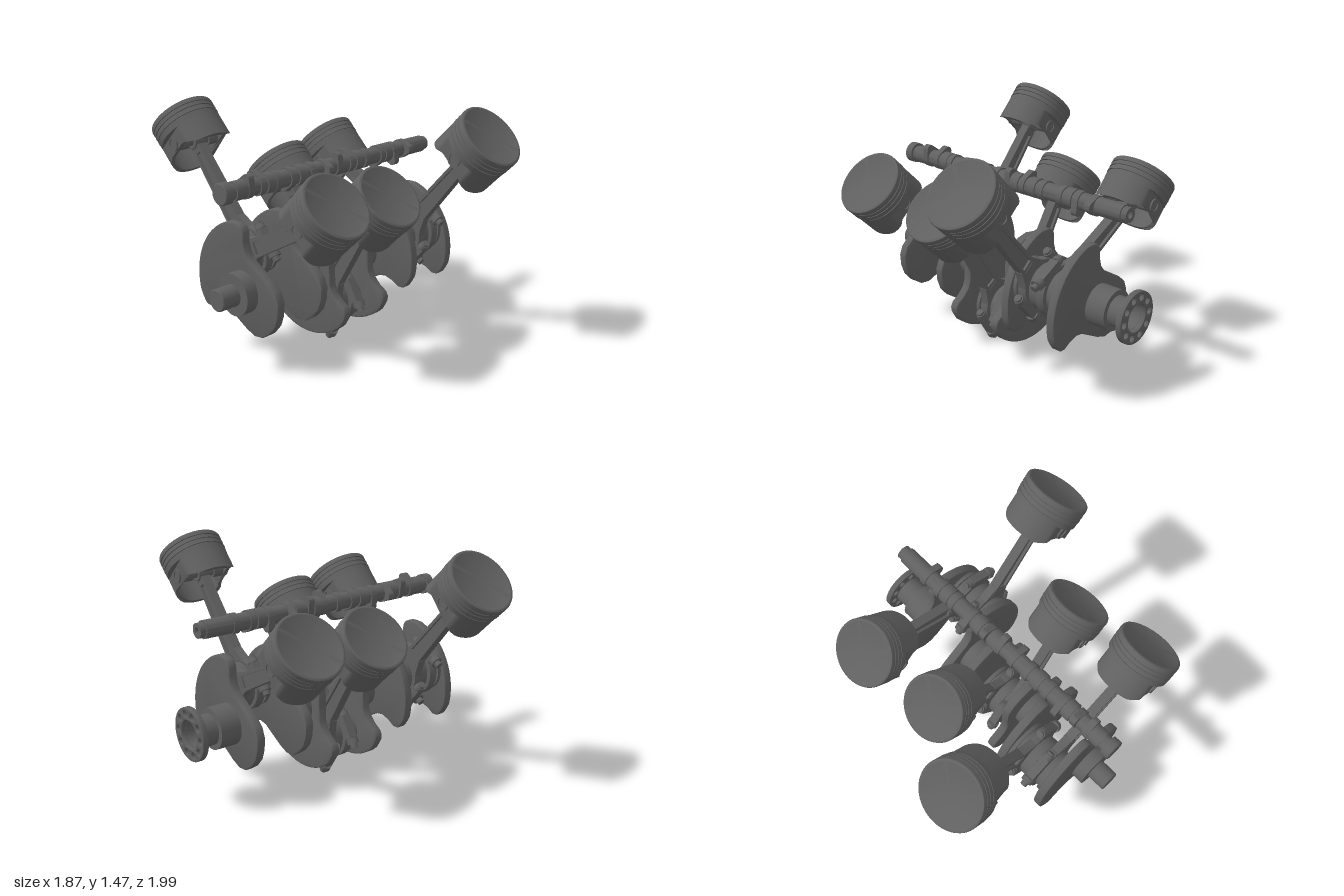
import * as THREE from 'three';
import { toCreasedNormals } from 'three/addons/utils/BufferGeometryUtils.js';

const material = new THREE.MeshStandardMaterial({ color: 0x606060 });
const AXIS_Y = 0.485, CRANK = 0.25, ROD = 0.78, PIN_DROP = 0.185;
const V = (x, y) => new THREE.Vector2(x, y);

function add(parent, name, geometry, x = 0, y = 0, z = 0) {
  const mesh = new THREE.Mesh(toCreasedNormals(geometry, 0.6), material);
  mesh.name = name;
  mesh.position.set(x, y, z);
  parent.add(mesh);
  return mesh;
}

function group(parent, name, x = 0, y = 0, z = 0, rotX = 0) {
  const g = new THREE.Group();
  g.name = name;
  g.position.set(x, y, z);
  g.rotation.x = rotX;
  parent.add(g);
  return g;
}

// turned part along x; steps are [x, radius]
const turned = (steps, sides = 40) =>
  new THREE.LatheGeometry(steps.map(([x, r]) => V(r, x)), sides).rotateZ(-Math.PI / 2);

const rod = (r, length, sides = 32) =>
  new THREE.CylinderGeometry(r, r, length, sides).rotateZ(Math.PI / 2);

// flat part in the y-z plane, thickness centred on x
function plate(shape, thickness, bevel = 0) {
  const depth = thickness - 2 * bevel;
  return new THREE.ExtrudeGeometry(shape, {
    depth, curveSegments: 24, bevelEnabled: bevel > 0, bevelSize: bevel,
    bevelThickness: bevel, bevelOffset: -bevel, bevelSegments: 2,
  }).translate(0, 0, -depth / 2).rotateY(Math.PI / 2);
}

function disc(r, holes = []) {
  const shape = new THREE.Shape().absarc(0, 0, r, 0, Math.PI * 2);
  for (const [x, y, hr] of holes) shape.holes.push(new THREE.Path().absarc(x, y, hr, 0, Math.PI * 2, true));
  return shape;
}

// crank web: broad lobe around the pin, narrow tail behind the shaft
function webShape() {
  const half = [];
  for (let i = 0; i <= 12; i++) {
    const a = i / 12 * 0.76;
    half.push(V(0.408 * Math.sin(a), 0.408 * Math.cos(a)));
  }
  half.push(V(0.302, 0.262), V(0.318, 0.23), V(0.321, 0.2), V(0.305, 0.17), V(0.255, 0.14), V(0.215, 0.1),
    V(0.195, 0.05), V(0.193, -0.05), V(0.191, -0.13), V(0.178, -0.2), V(0.14, -0.25), V(0.07, -0.284), V(0, -0.297));
  const mirrored = half.slice(1, -1).reverse().map((p) => V(-p.x, p.y));
  return new THREE.Shape([...half, ...mirrored]);
}

// circle with flats cut across x, for the piston skirt
function flattened(r, flat) {
  const pts = [];
  for (let i = 0; i < 72; i++) {
    const a = i / 72 * Math.PI * 2;
    pts.push(V(THREE.MathUtils.clamp(r * Math.cos(a), -flat, flat), r * Math.sin(a)));
  }
  return pts;
}

function buildPiston(parent, y) {
  const piston = group(parent, 'piston', 0, y);
  // crown with three fine ring grooves
  const profile = [V(0, -0.06), V(0.165, -0.06), V(0.165, -0.135), V(0.203, -0.135)];
  for (const g of [-0.1, -0.068, -0.04]) {
    profile.push(V(0.205, g), V(0.199, g), V(0.199, g + 0.007), V(0.207, g + 0.007));
  }
  profile.push(V(0.207, -0.012), V(0.204, -0.004), V(0.196, 0), V(0.188, 0), V(0.185, -0.002), V(0, -0.002));
  add(piston, 'pistonCrown', new THREE.LatheGeometry(profile, 56));
  // skirt, arched upward under the wrist pin
  const shape = new THREE.Shape(flattened(0.203, 0.165));
  shape.holes.push(new THREE.Path(flattened(0.178, 0.14).reverse()));
  const skirt = new THREE.ExtrudeGeometry(shape, { depth: 0.155, bevelEnabled: false })
    .rotateX(-Math.PI / 2).translate(0, -0.28, 0);
  const pos = skirt.attributes.position;
  for (let i = 0; i < pos.count; i++) {
    if (pos.getY(i) > -0.27) continue;
    const t = THREE.MathUtils.clamp((0.17 - Math.abs(pos.getZ(i))) / 0.09, 0, 1);
    pos.setY(i, -0.28 + 0.05 * t);
  }
  add(piston, 'pistonSkirt', skirt);
  // wrist pin and its bosses
  add(piston, 'wristPin', rod(0.03, 0.335), 0, -PIN_DROP);
  for (const s of [-1, 1]) {
    add(piston, 'pinBoss', plate(disc(0.043, [[0, 0, 0.03]]), 0.1), s * 0.125, -PIN_DROP);
  }
}

function buildRod(parent, x, pin, rotX) {
  const g = group(parent, 'connectingRod', x, pin.y, pin.x, rotX);
  // I-section beam
  const taper = (wLow, wHigh, low, high) => [V(-wLow, low), V(wLow, low), V(wHigh, high), V(-wHigh, high)];
  const frame = new THREE.Shape(taper(0.058, 0.04, 0.135, 0.735));
  frame.holes.push(new THREE.Path(taper(0.036, 0.022, 0.2, 0.69).reverse()));
  add(g, 'beamFlanges', plate(frame, 0.06));
  add(g, 'beamWeb', plate(new THREE.Shape(taper(0.04, 0.026, 0.19, 0.7)), 0.024));
  add(g, 'smallEnd', plate(disc(0.055, [[0, 0, 0.029]]), 0.08, 0.005), 0, ROD);
  // shoulder blending the beam into the big end
  const neck = new THREE.Shape([V(-0.14, 0.06), V(0.14, 0.06), V(0.085, 0.15), V(0.058, 0.22), V(-0.058, 0.22), V(-0.085, 0.15)]);
  neck.holes.push(new THREE.Path().absarc(0, 0, 0.12, 0.6, Math.PI - 0.6));
  add(g, 'bigEndNeck', plate(neck, 0.055));
  add(g, 'bigEnd', plate(disc(0.158, [[0, 0, 0.128]]), 0.056, 0.005));
  // cap bolts on both sides
  for (const s of [-1, 1]) {
    add(g, 'boltLug', new THREE.BoxGeometry(0.056, 0.15, 0.065), 0, -0.01, s * 0.155);
    add(g, 'capBolt', new THREE.CylinderGeometry(0.022, 0.022, 0.26, 16), 0, -0.02, s * 0.163);
    add(g, 'boltNut', new THREE.CylinderGeometry(0.037, 0.037, 0.035, 16), 0, -0.105, s * 0.163);
    add(g, 'boltHead', new THREE.CylinderGeometry(0.028, 0.034, 0.03, 16), 0, 0.08, s * 0.163);
  }
}

function buildCrankshaft(parent) {
  const crank = group(parent, 'crankshaft', 0, AXIS_Y);
  add(crank, 'shaftNose', turned([[-0.935, 0], [-0.935, 0.06], [-0.93, 0.065], [-0.815, 0.065],
    [-0.815, 0.125], [-0.7, 0.125], [-0.7, 0]]));
  add(crank, 'shaftTail', turned([[0.62, 0], [0.62, 0.125], [0.79, 0.125], [0.79, 0.093],
    [0.9, 0.093], [0.9, 0.084], [0.8, 0.084], [0.8, 0]]));
  for (const x of [-0.295, 0.207]) add(crank, 'mainJournal', rod(0.122, 0.17, 40), x);
  // drive flange with a ring of bolt holes
  const holes = [[0, 0, 0.086]];
  for (let i = 0; i < 10; i++) {
    const a = i / 10 * Math.PI * 2;
    holes.push([0.123 * Math.cos(a), 0.123 * Math.sin(a), 0.021]);
  }
  add(crank, 'driveFlange', plate(disc(0.16, holes), 0.036, 0.003), 0.913);
  return crank;
}

function buildCamshaft(parent) {
  const cam = group(parent, 'camshaft', 0, 1.085);
  add(cam, 'camCore', turned([[-0.885, 0], [-0.885, 0.058], [-0.88, 0.063], [-0.83, 0.063], [-0.83, 0.047],
    [-0.8, 0.047], [-0.8, 0.056], [-0.72, 0.056], [-0.72, 0.051], [0.6, 0.051], [0.6, 0.053], [0.815, 0.053],
    [0.815, 0.044], [0.85, 0.044], [0.85, 0.02], [0.82, 0.02], [0.82, 0]], 32));
  for (const x of [-0.545, -0.3, 0.05, 0.18, 0.45]) add(cam, 'camBearing', rod(0.06, 0.06), x);
  // egg-shaped lobes, staggered by sixths of a turn
  const egg = new THREE.Shape();
  egg.absarc(0, 0, 0.06, Math.PI * 0.85, Math.PI * 2.15);
  egg.absarc(0, 0.064, 0.029, Math.PI * 0.12, Math.PI * 0.88);
  [-0.7, -0.61, -0.49, -0.38, -0.22, -0.11, 0, 0.11, 0.25, 0.39, 0.51, 0.62].forEach((x, i) => {
    add(cam, 'camLobe', plate(egg, 0.04), x).rotation.x = (i * 5 % 6 + 0.4) * Math.PI / 3;
  });
}

export function createModel() {
  const model = new THREE.Group();
  model.name = 'engineRotatingAssembly';
  const crank = buildCrankshaft(model);
  buildCamshaft(model);

  // three throws a third of a turn apart, each driving one cylinder per bank
  [[-0.54, -Math.PI / 3], [-0.042, Math.PI], [0.462, Math.PI / 3]].forEach(([x, angle]) => {
    const crankThrow = group(crank, 'crankThrow', x, 0, 0, angle);
    for (const s of [-1, 1]) {
      add(crankThrow, 'crankWeb', plate(webShape(), 0.056, 0.01), s * 0.169);
      add(crankThrow, 'pinCollar', rod(0.145, 0.025, 40), s * 0.13, CRANK);
    }
    add(crankThrow, 'crankPin', rod(0.13, 0.33, 40), 0, CRANK);
    add(crankThrow, 'centreCollar', rod(0.14, 0.055, 40), 0, CRANK);

    for (const bank of [1, -1]) {
      const tilt = bank * Math.PI / 4, cx = x - bank * 0.064;
      const dir = V(Math.sin(tilt), Math.cos(tilt)); // (z, y)
      const pin = V(Math.sin(angle), Math.cos(angle)).multiplyScalar(CRANK);
      const along = pin.dot(dir);
      const travel = along + Math.sqrt(ROD * ROD - (CRANK * CRANK - along * along));
      const delta = dir.clone().multiplyScalar(travel).sub(pin);
      const cylinder = group(model, 'cylinderSet', 0, AXIS_Y);
      buildRod(cylinder, cx, pin, Math.atan2(delta.x, delta.y));
      buildPiston(group(cylinder, 'pistonBank', cx, 0, 0, tilt), travel + PIN_DROP);
    }
  });
  return model;
}
